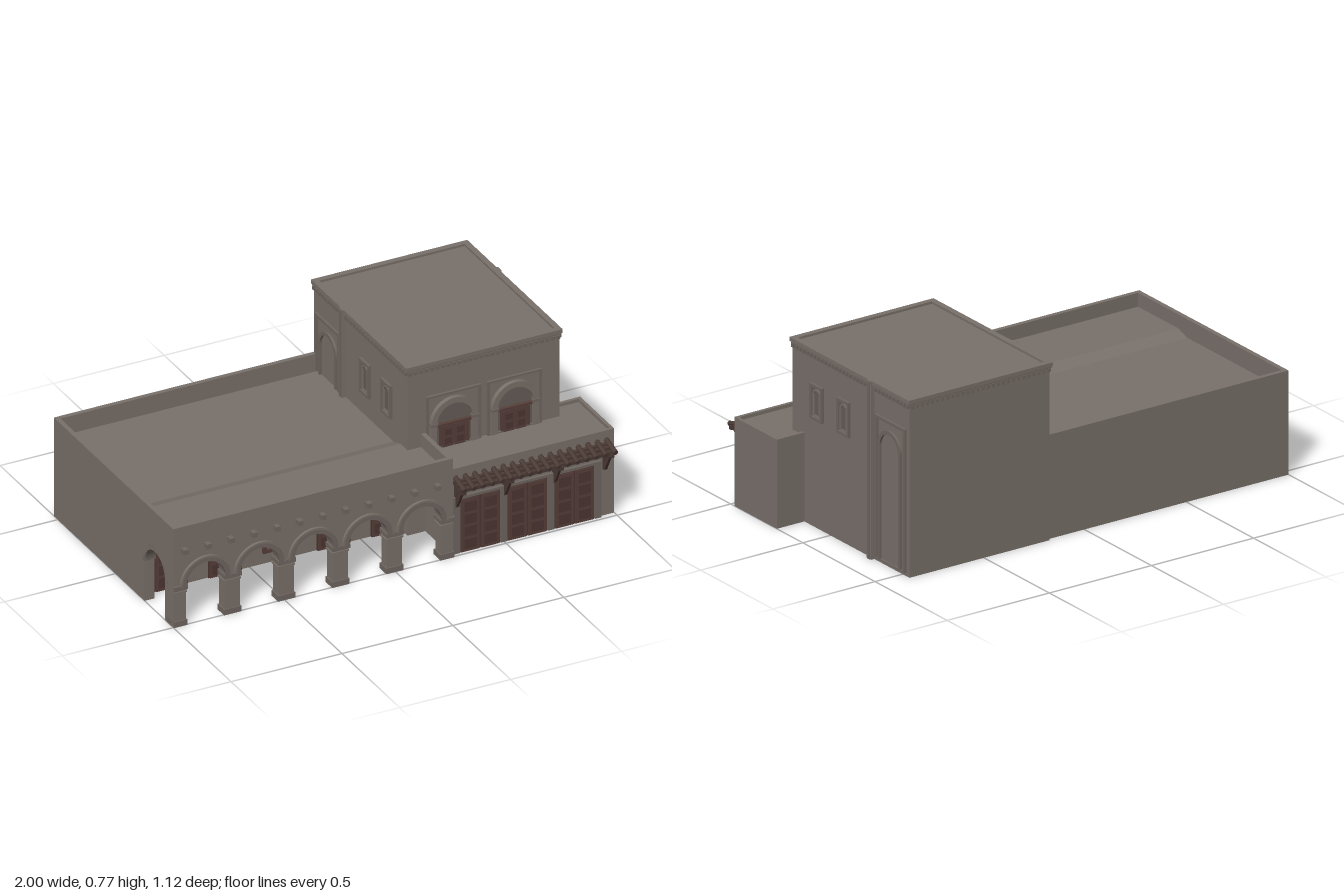
import * as THREE from 'three';

const mat = (name, color) => Object.assign(new THREE.MeshStandardMaterial({ color }), { name });

export function createModel() {
  const root = new THREE.Group();
  root.name = 'courtyardBuilding';
  const stone = mat('stone', 0x79706a);
  const trim = mat('trimStone', 0x6f6660);
  const niche = mat('shadedStone', 0x655d57);
  const door = mat('doorWood', 0x573f39);
  const panel = mat('doorPanelWood', 0x4b3631);
  const timber = mat('timber', 0x4c3b35);

  const add = (name, geo, m, parent = root) => {
    const mesh = new THREE.Mesh(geo, m);
    mesh.name = name;
    parent.add(mesh);
    return mesh;
  };
  // Box given by its limits
  const box = (name, x0, x1, y0, y1, z0, z1, m, parent) => {
    const g = new THREE.BoxGeometry(x1 - x0, y1 - y0, z1 - z0);
    g.translate((x0 + x1) / 2, (y0 + y1) / 2, (z0 + z1) / 2);
    return add(name, g, m, parent);
  };
  const extrude = (shape, depth) =>
    new THREE.ExtrudeGeometry(shape, { depth, bevelEnabled: false, curveSegments: 14 });
  // Shape drawn facing +z, starting at z
  const frontPart = (name, shape, z, depth, m) => add(name, extrude(shape, depth).translate(0, 0, z), m);
  // Shape drawn in (-z, y), running along x from x0
  const sidePart = (name, shape, x0, depth, m) =>
    add(name, extrude(shape, depth).rotateY(Math.PI / 2).translate(x0, 0, 0), m);

  const rect = (C, x0, x1, y0, y1) => {
    const p = new C();
    p.moveTo(x0, y0).lineTo(x1, y0).lineTo(x1, y1).lineTo(x0, y1).closePath();
    return p;
  };
  const arch = (C, c, r, y0, spring) => {
    const p = new C();
    p.moveTo(c - r, y0).lineTo(c + r, y0).lineTo(c + r, spring);
    p.absarc(c, spring, r, 0, Math.PI, false).closePath();
    return p;
  };
  const cut = (shape, hole) => { shape.holes.push(hole); return shape; };
  // Half-round moulding
  const archBand = (c, spring, r, R) => {
    const s = new THREE.Shape();
    s.moveTo(c + R, spring);
    s.absarc(c, spring, R, 0, Math.PI, false).lineTo(c - r, spring);
    s.absarc(c, spring, r, Math.PI, 0, true).closePath();
    return s;
  };
  // Wall with arched openings down to the ground
  const arcadeShape = (x0, x1, top, centres, r, spring) => {
    const s = new THREE.Shape();
    s.moveTo(x0, 0);
    for (const c of centres) {
      s.lineTo(c - r, 0).lineTo(c - r, spring);
      s.absarc(c, spring, r, Math.PI, 0, true).lineTo(c + r, 0);
    }
    s.lineTo(x1, 0).lineTo(x1, top).lineTo(x0, top).closePath();
    return s;
  };
  // Rectangular rim around a roof
  const rim = (name, x0, x1, z0, z1, y0, y1, t, m) => {
    const s = cut(rect(THREE.Shape, x0, x1, -z1, -z0), rect(THREE.Path, x0 + t, x1 - t, -z1 + t, -z0 - t));
    add(name, extrude(s, y1 - y0).rotateX(-Math.PI / 2).translate(0, y0, 0), m);
  };
  // Panelled double door standing on y0
  const doubleDoor = (name, x, w, y0, h, z, rows) => {
    const g = new THREE.Group();
    g.name = name;
    root.add(g);
    box('doorFrame', x - w / 2, x + w / 2, y0, y0 + h, z, z + 0.006, panel, g);
    for (const s of [-1, 1]) {
      const c = x + s * w / 4, a = w / 4 - 0.004;
      box('leaf', c - a, c + a, y0, y0 + h - 0.006, z, z + 0.01, door, g);
      for (let i = 0; i < rows; i++) {
        const d = (h - 0.02) / rows, y = y0 + 0.008 + i * d;
        box('doorPanel', c - a * 0.65, c + a * 0.65, y + 0.006, y + d - 0.006, z + 0.005, z + 0.014, panel, g);
      }
    }
  };

  // Low wing: body, porch ceiling and stepped roof as one profile
  const wing = new THREE.Shape([[0.535, 0], [0.535, 0.37], [-0.14, 0.37], [-0.2, 0.39], [-0.48, 0.39],
    [-0.48, 0.36], [-0.2, 0.36], [-0.2, 0]].map(([a, b]) => new THREE.Vector2(a, b)));
  sidePart('lowWing', wing, -1, 1.26, stone);
  rim('wingParapet', -1, 0.26, -0.535, 0.5, 0.36, 0.45, 0.02, stone);

  // Arcade
  const centres = [-0.855, -0.612, -0.368, -0.124, 0.12], spring = 0.18, R = 0.088;
  frontPart('arcadeWall', arcadeShape(-1, 0.26, 0.37, centres, R, spring), 0.45, 0.05, stone);
  sidePart('arcadeEndWall', arcadeShape(-0.46, -0.2, 0.37, [-0.34], R, spring), -1, 0.045, stone);
  for (const c of centres) {
    frontPart('archMoulding', archBand(c, spring, R, 0.112), 0.495, 0.013, trim);
    frontPart('archMouldingEdge', archBand(c, spring, 0.108, 0.116), 0.495, 0.017, stone);
  }
  sidePart('endArchMoulding', archBand(-0.34, spring, R, 0.108), -1, 0.05, trim);
  const piers = [[-1, -0.943], ...centres.slice(1).map((c, i) => [centres[i] + R, c - R]), [0.208, 0.26]];
  for (const [a, b] of piers) {
    const l = Math.max(a - 0.006, -1);
    box('pierCapital', l, b + 0.006, 0.165, 0.185, 0.445, 0.508, trim);
    box('pierNeck', l, b + 0.003, 0.15, 0.158, 0.447, 0.504, stone);
    box('pierBase', l, b + 0.004, 0, 0.025, 0.446, 0.505, trim);
  }
  for (let i = 0; i < 12; i++) {
    const x = -0.955 + i * 0.1036;
    box('beamEnd', x - 0.011, x + 0.011, 0.335, 0.356, 0.49, 0.527, trim);
  }
  // Porch doors and central window
  centres.forEach((c, i) => {
    if (i !== 2) doubleDoor('porchDoor', c, 0.15, 0, 0.25, 0.2, 4);
    else {
      frontPart('porchWindowFrame', cut(rect(THREE.Shape, c - 0.075, c + 0.075, 0.05, 0.25),
        rect(THREE.Path, c - 0.06, c + 0.06, 0.065, 0.235)), 0.2, 0.012, door);
      for (const d of [-0.03, 0, 0.03]) box('windowBar', c + d - 0.004, c + d + 0.004, 0.06, 0.24, 0.2, 0.209, door);
      box('windowCrossBar', c - 0.07, c + 0.07, 0.15, 0.16, 0.2, 0.209, door);
    }
  });

  // Shop block
  box('shopBlock', 0.26, 1, 0, 0.37, 0.18, 0.475, stone);
  rim('shopParapet', 0.26, 1, 0.18, 0.475, 0.36, 0.385, 0.014, stone);
  for (const x of [0.393, 0.605, 0.817]) doubleDoor('shopDoor', x, 0.18, 0, 0.245, 0.475, 4);
  for (const x of [0.287, 0.499, 0.711, 0.923]) box('shopPilaster', x - 0.014, x + 0.014, 0, 0.25, 0.47, 0.486, trim);
  box('shopLintel', 0.273, 0.937, 0.246, 0.258, 0.47, 0.488, trim);

  // Timber canopy over the shop
  for (let i = 0; i < 17; i++) {
    const r = add('canopyRafter', new THREE.CylinderGeometry(0.011, 0.011, 0.09, 8), timber);
    r.rotation.x = Math.PI / 2 + 0.25;
    r.position.set(0.285 + i * 0.0425, 0.333, 0.513);
  }
  for (const [z, y] of [[0.487, 0.327], [0.508, 0.322], [0.532, 0.314]])
    box('canopyBeam', 0.272, 0.98, y - 0.008, y + 0.008, z - 0.008, z + 0.008, timber);
  for (const x of [0.287, 0.505, 0.728, 0.955]) {
    box('bracketArm', x - 0.008, x + 0.008, 0.298, 0.314, 0.47, 0.55, timber);
    box('bracketPost', x - 0.008, x + 0.008, 0.215, 0.31, 0.472, 0.49, timber);
    const strut = add('bracketStrut', new THREE.BoxGeometry(0.012, 0.1, 0.012), timber);
    strut.position.set(x, 0.265, 0.509);
    strut.rotation.x = 0.5;
  }

  // Tower with cornice and dentils
  box('tower', 0.18, 0.865, 0, 0.76, -0.547, 0.262, stone);
  rim('towerCornice', 0.17, 0.875, -0.557, 0.27, 0.753, 0.77, 0.025, stone);
  rim('corniceMoulding', 0.174, 0.871, -0.553, 0.266, 0.745, 0.754, 0.012, trim);
  for (let i = 0; i <= 27; i++) {
    const x = 0.187 + i * 0.0248;
    for (const z of [0.265, -0.55]) box('dentil', x - 0.007, x + 0.007, 0.73, 0.746, z - 0.006, z + 0.006, trim);
  }
  for (let i = 0; i <= 32; i++) {
    const z = -0.54 + i * 0.0248;
    for (const x of [0.177, 0.868]) box('dentil', x - 0.006, x + 0.006, 0.73, 0.746, z - 0.007, z + 0.007, trim);
  }

  // Tower front windows
  for (const c of [0.384, 0.658]) {
    frontPart('windowSurround', cut(rect(THREE.Shape, c - 0.122, c + 0.122, 0.37, 0.615),
      rect(THREE.Path, c - 0.114, c + 0.114, 0.375, 0.607)), 0.26, 0.014, trim);
    frontPart('windowRecess', arch(THREE.Shape, c, 0.082, 0.37, 0.485), 0.261, 0.004, niche);
    frontPart('windowArch', archBand(c, 0.485, 0.08, 0.105), 0.26, 0.022, stone);
    for (const s of [-1, 1]) {
      box('windowJamb', c + s * 0.0925 - 0.0125, c + s * 0.0925 + 0.0125, 0.37, 0.485, 0.26, 0.278, stone);
      box('windowImpost', c + s * 0.0925 - 0.016, c + s * 0.0925 + 0.016, 0.478, 0.49, 0.26, 0.286, trim);
    }
    doubleDoor('windowShutters', c, 0.11, 0.37, 0.1, 0.265, 2);
    box('shutterRail', c - 0.075, c + 0.075, 0.468, 0.48, 0.262, 0.28, door);
    for (const d of [-0.058, 0, 0.058]) box('shutterPost', c + d - 0.006, c + d + 0.006, 0.38, 0.47, 0.264, 0.282, door);
  }

  // Tower sides, alike on left and right
  for (const [x, s] of [[0.865, 1], [0.18, -1]]) {
    const plate = (name, shape, d, m) => sidePart(name, shape, s > 0 ? x - 0.002 : x - d, d + 0.002, m);
    plate('sidePilaster', rect(THREE.Shape, 0.272, 0.304, 0, 0.77), 0.016, stone);
    plate('sidePilasterFace', rect(THREE.Shape, 0.279, 0.297, 0, 0.765), 0.019, trim);
    plate('archPanelFrame', cut(rect(THREE.Shape, 0.318, 0.528, 0.015, 0.635),
      rect(THREE.Path, 0.332, 0.514, 0.02, 0.622)), 0.01, trim);
    plate('blindArch', cut(arch(THREE.Shape, 0.418, 0.078, 0.015, 0.512),
      arch(THREE.Path, 0.418, 0.063, 0.02, 0.512)), 0.01, trim);
    for (const c of [-0.088, 0.098]) {
      plate('sideWindowFrame', cut(rect(THREE.Shape, c - 0.042, c + 0.042, 0.468, 0.62),
        rect(THREE.Path, c - 0.03, c + 0.03, 0.48, 0.608)), 0.012, trim);
      plate('sideWindowNiche', rect(THREE.Shape, c - 0.031, c + 0.031, 0.479, 0.609), 0.002, niche);
      plate('sideWindowArch', cut(arch(THREE.Shape, c, 0.025, 0.482, 0.577),
        arch(THREE.Path, c, 0.017, 0.488, 0.577)), 0.007, stone);
    }
  }
  return root;
}
